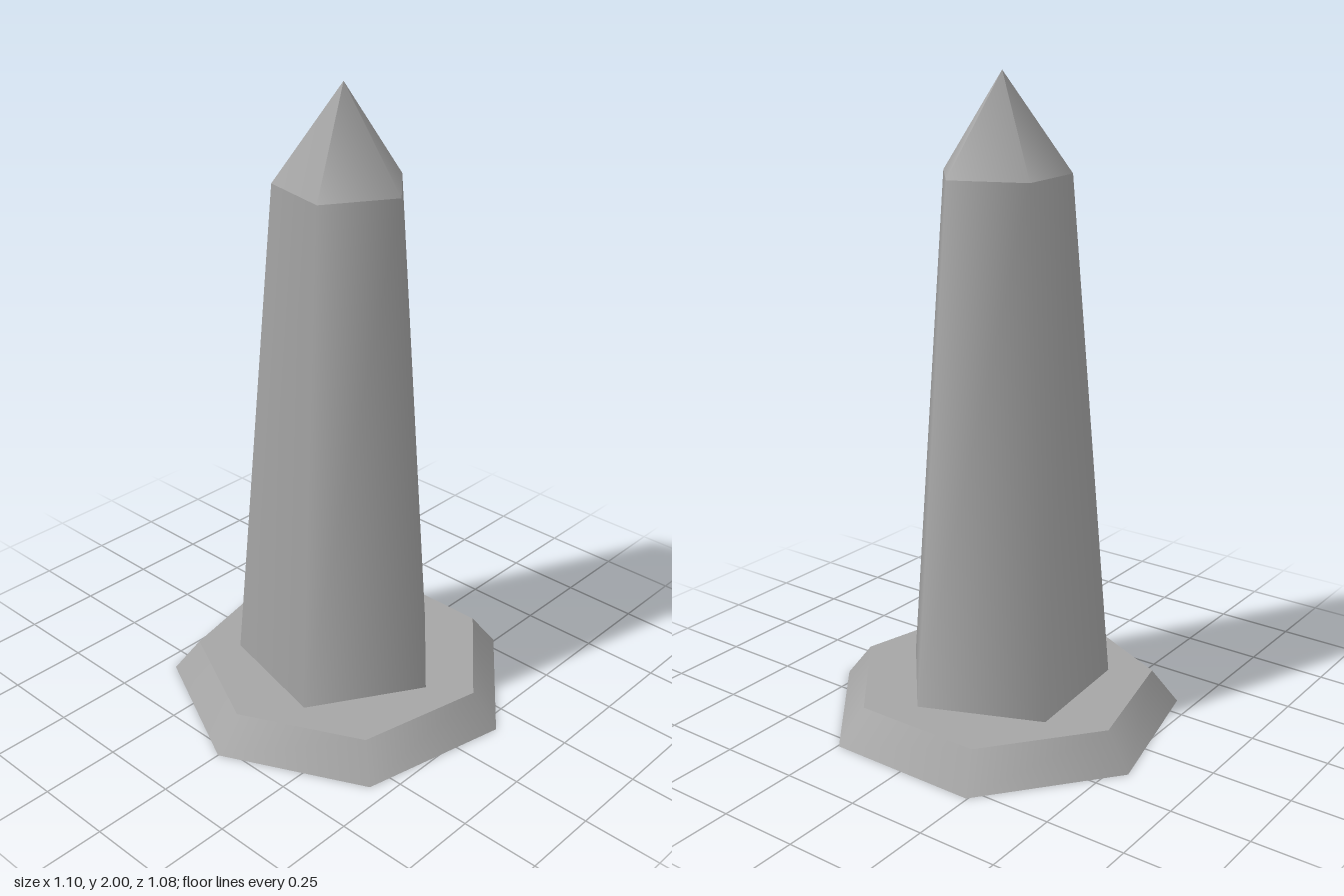
import * as THREE from 'three';

export function createModel() {
  const model = new THREE.Group();
  const stone = new THREE.MeshStandardMaterial({ color: 0xa6a6a6 });
  stone.name = 'grey stone';

  // Adds one tapered prism standing between two heights
  function addTier(name, rTop, rBottom, y0, y1, sides, turn, open) {
    const geometry = new THREE.CylinderGeometry(rTop, rBottom, y1 - y0, sides, 1, open, turn);
    const mesh = new THREE.Mesh(geometry, stone);
    mesh.name = name;
    mesh.position.set(0, (y0 + y1) / 2, -0.03);
    model.add(mesh);
  }

  const twist = THREE.MathUtils.degToRad(22.4);
  // Seven-sided bevelled base
  addTier('base', 0.481, 0.566, 0, 0.11, 7, 0, false);
  // Five-sided tapering shaft and its pointed cap
  addTier('shaft', 0.206, 0.341, 0.11, 1.705, 5, twist, true);
  addTier('pointedCap', 0, 0.206, 1.705, 2, 5, twist, true);

  return model;
}
